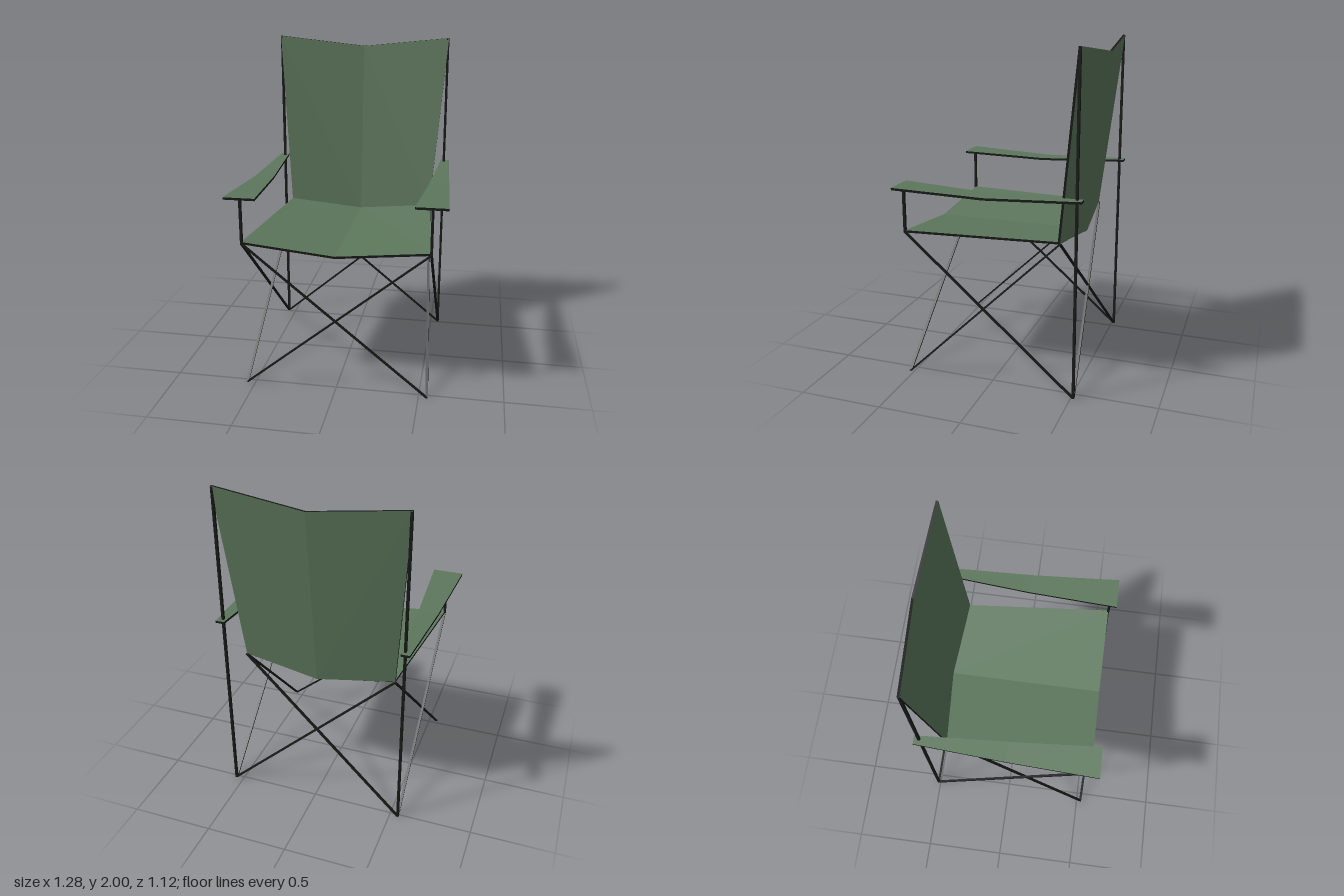
import * as THREE from 'three';

const ROD = 0.015;   // side of the square frame rods
const CLOTH = 0.014; // thickness of the fabric panels

// Folded fabric panel from a grid of points: coloured faces (group 0) and a trim rim (group 1).
// Rows and columns run so that row direction x column direction points along "out".
function panelGeometry(rows, out) {
  const o = new THREE.Vector3(...out).multiplyScalar(CLOTH / 2);
  const top = rows.map(r => r.map(p => new THREE.Vector3(...p).add(o)));
  const low = rows.map(r => r.map(p => new THREE.Vector3(...p).sub(o)));
  const pos = [];
  const quad = (a, b, c, d) => [a, b, c, a, c, d].forEach(v => pos.push(v.x, v.y, v.z));
  const n = rows.length - 1, m = rows[0].length - 1;
  for (let i = 0; i < n; i++) {
    for (let j = 0; j < m; j++) {
      quad(top[i][j], top[i + 1][j], top[i + 1][j + 1], top[i][j + 1]);
      quad(low[i][j], low[i][j + 1], low[i + 1][j + 1], low[i + 1][j]);
    }
  }
  const faceCount = pos.length / 3;

  // Walk round the outline for the rim
  const loop = [];
  for (let i = 0; i < n; i++) loop.push([i, 0]);
  for (let j = 0; j < m; j++) loop.push([n, j]);
  for (let i = n; i > 0; i--) loop.push([i, m]);
  for (let j = m; j > 0; j--) loop.push([0, j]);
  loop.forEach(([i, j], k) => {
    const [u, v] = loop[(k + 1) % loop.length];
    quad(low[i][j], low[u][v], top[u][v], top[i][j]);
  });

  const g = new THREE.BufferGeometry();
  g.setAttribute('position', new THREE.Float32BufferAttribute(pos, 3));
  g.addGroup(0, faceCount, 0);
  g.addGroup(faceCount, pos.length / 3 - faceCount, 1);
  g.computeVertexNormals();
  return g;
}

// Rod with a level square section, sheared to run from point a up to point b
function rodGeometry(a, b) {
  const h = b[1] - a[1];
  const g = new THREE.BoxGeometry(ROD, h, ROD).translate(0, h / 2, 0);
  g.applyMatrix4(new THREE.Matrix4().set(
    1, (b[0] - a[0]) / h, 0, a[0],
    0, 1, 0, a[1],
    0, (b[2] - a[2]) / h, 1, a[2],
    0, 0, 0, 1));
  g.computeVertexNormals();
  return g;
}

export function createModel() {
  const fabric = new THREE.MeshStandardMaterial({ color: 0x5c775c });
  fabric.name = 'greenFabric';
  const metal = new THREE.MeshStandardMaterial({ color: 0x181a18 });
  metal.name = 'blackFrame';

  const model = new THREE.Group();
  model.name = 'foldingChair';
  const add = (name, geometry, material) => {
    const mesh = new THREE.Mesh(geometry, material);
    mesh.name = name;
    model.add(mesh);
  };
  const cloth = [fabric, metal];

  // Sagging seat, back edge to front edge
  add('seat', panelGeometry([
    [[-0.47, 0.905, -0.393], [0, 0.85, -0.432], [0.47, 0.905, -0.393]],
    [[-0.553, 0.905, 0.526], [0, 0.85, 0.526], [0.553, 0.905, 0.526]],
  ], [0, 1, 0]), cloth);

  // Backrest, top edge to bottom edge
  add('backrest', panelGeometry([
    [[-0.556, 2, -0.514], [0, 1.938, -0.553], [0.556, 2, -0.514]],
    [[-0.47, 0.905, -0.393], [0, 0.845, -0.432], [0.47, 0.905, -0.393]],
  ], [0, 0, 1]), cloth);

  for (const s of [1, -1]) {
    const side = s > 0 ? 'left' : 'right';

    // Armrest strap: widens to the front and dips in the middle
    const row = (inner, outer, y, z) =>
      [s * inner, s * outer].sort((a, b) => a - b).map(x => [x, y, z]);
    add(side + 'Armrest', panelGeometry([
      row(0.53, 0.583, 1.181, -0.546),
      row(0.491, 0.613, 1.162, 0.005),
      row(0.453, 0.641, 1.181, 0.558),
    ], [0, 1, 0]), cloth);

    // Frame joints
    const frontFoot = [s * 0.55, 0, 0.526];
    const backFoot = [s * 0.55, 0, -0.514];
    const frontSeat = [s * 0.55, 0.9, 0.526];
    const backSeat = [s * 0.47, 0.9, -0.4];
    const mirror = ([x, y, z]) => [-x, y, z];

    add(side + 'BackPole', rodGeometry(backFoot, [s * 0.55, 1.995, -0.514]), metal);
    add(side + 'ArmPost', rodGeometry(frontSeat, [s * 0.55, 1.178, 0.526]), metal);

    // Crossed braces on the side, front and back
    add(side + 'SideBraceFront', rodGeometry(frontFoot, backSeat), metal);
    add(side + 'SideBraceBack', rodGeometry(backFoot, frontSeat), metal);
    add(side + 'FrontBrace', rodGeometry(frontFoot, mirror(frontSeat)), metal);
    add(side + 'BackBrace', rodGeometry(backFoot, mirror(backSeat)), metal);
  }
  return model;
}
